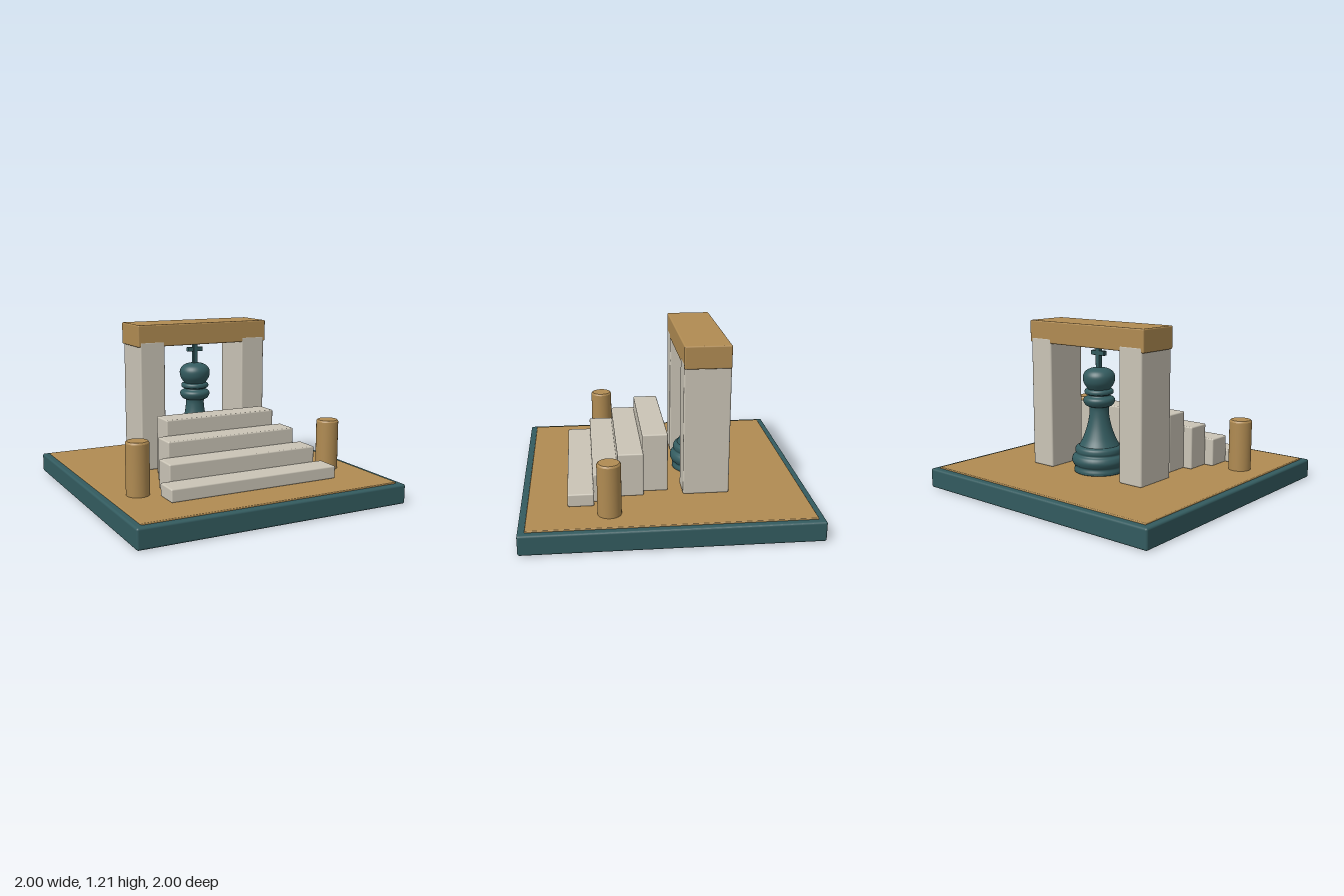
import * as THREE from 'three';
import { RoundedBoxGeometry } from 'three/addons/geometries/RoundedBoxGeometry.js';

const material = (name, color) => {
  const m = new THREE.MeshStandardMaterial({ color });
  m.name = name;
  return m;
};

export function createModel() {
  const teal = material('dark teal', 0x335b5f);
  const wood = material('golden wood', 0xb08b52);
  const stone = material('pale stone', 0xcac4b6);
  const model = new THREE.Group();
  model.name = 'chessMonument';

  const add = (name, geometry, mat, parent = model) => {
    const mesh = new THREE.Mesh(geometry, mat);
    mesh.name = name;
    parent.add(mesh);
    return mesh;
  };
  // Softly rounded box given by its limits on each axis
  const block = (name, [x0, x1], [y0, y1], [z0, z1], mat, radius = 0.01, parent = model) => {
    const mesh = add(name, new RoundedBoxGeometry(x1 - x0, y1 - y0, z1 - z0, 3, radius), mat, parent);
    mesh.position.set((x0 + x1) / 2, (y0 + y1) / 2, (z0 + z1) / 2);
    return mesh;
  };
  // Smooth profile through a few [radius, height] points
  const turned = (points, samples) => {
    const curve = new THREE.SplineCurve(points.map(([r, y]) => new THREE.Vector2(r, y)));
    const profile = curve.getPoints(samples).map((p) => new THREE.Vector2(Math.max(p.x, 0), p.y));
    return new THREE.LatheGeometry(profile, 40);
  };

  // Base slab and inlaid floor
  block('baseSlab', [-1, 1], [0, 0.14], [-1, 1], teal, 0.015);
  block('floorPanel', [-0.953, 0.953], [0.125, 0.15], [-0.953, 0.953], wood, 0.006);

  // Staircase: half width, top height, back edge
  const steps = [[0.633, 0.24, 0.503], [0.567, 0.352, 0.33], [0.498, 0.46, 0.158], [0.43, 0.57, -0.016]];
  steps.forEach(([w, top, back], i) =>
    block(`step${i + 1}`, [-w, w], [0.15, top], [back, back + 0.178], stone, 0.01));

  // Gateway: two pillars and a lintel
  for (const [side, s] of [['left', 1], ['right', -1]]) {
    const x = 0.411 * s;
    block(`${side}Pillar`, [x - 0.096, x + 0.096], [0.15, 1.09], [-0.434, -0.113], stone, 0.012);
    // Round post beside the stairs, with softened rims
    const rim = [[0, 0.15], [0.08, 0.15], [0.08, 0.5], [0.077, 0.508], [0.07, 0.513], [0, 0.513]];
    const shape = [];
    rim.forEach(([r, y], i) => {
      shape.push(new THREE.Vector2(r, y));
      if (i === 1 || i === 2 || i === 4) shape.push(new THREE.Vector2(r, y)); // keep the edge crisp
    });
    const post = add(`${side}Post`, new THREE.LatheGeometry(shape, 40), wood);
    post.position.set(0.75 * s, 0, 0.405);
  }
  block('lintel', [-0.521, 0.521], [1.052, 1.21], [-0.433, -0.114], wood, 0.01);

  // Chess king standing in the gateway
  const king = new THREE.Group();
  king.name = 'chessKing';
  king.position.z = -0.275;
  model.add(king);
  add('kingFoot', turned([[0, 0.15], [0.16, 0.15], [0.18, 0.165], [0.173, 0.195], [0.187, 0.212],
    [0.196, 0.24], [0.187, 0.268], [0.168, 0.285], [0.172, 0.305], [0.166, 0.33], [0.14, 0.345]], 60), teal, king);
  add('kingStem', turned([[0.145, 0.34], [0.118, 0.39], [0.092, 0.46], [0.075, 0.53], [0.068, 0.59],
    [0.07, 0.625]], 30), teal, king);
  add('kingCollar', turned([[0.065, 0.618], [0.095, 0.63], [0.112, 0.66], [0.106, 0.682], [0.085, 0.694],
    [0.08, 0.705], [0.098, 0.712], [0.103, 0.727], [0.095, 0.742], [0.07, 0.747]], 50), teal, king);
  add('kingHead', turned([[0.075, 0.74], [0.088, 0.757], [0.108, 0.79], [0.114, 0.825], [0.108, 0.852],
    [0.088, 0.876], [0.05, 0.893], [0, 0.898]], 40), teal, king);
  block('crossUpright', [-0.017, 0.017], [0.88, 1.06], [-0.017, 0.017], teal, 0.004, king);
  block('crossArm', [-0.06, 0.06], [0.983, 1.016], [-0.016, 0.016], teal, 0.004, king);

  return model;
}
